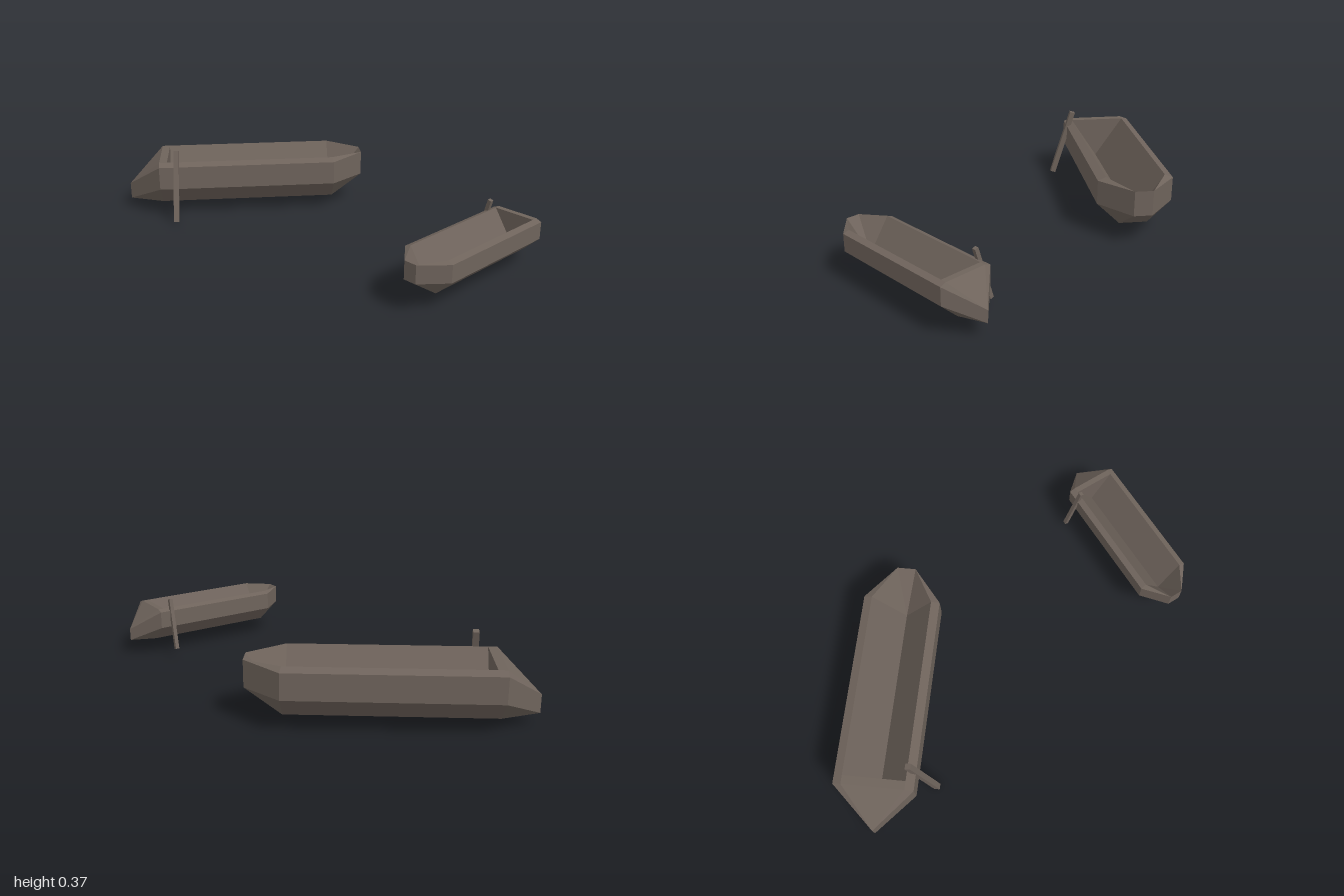
import * as THREE from 'three';

const wood = new THREE.MeshStandardMaterial({ color: 0x6e635b, flatShading: true });
wood.name = 'weatheredWood';

// Hull corners on the left half: [along the hull, height, sideways]
const P = {
  // stern and bow stations: bottom, chine, outer rim, inner rim
  bS: [0, 0.05, 0.07], cS: [0, 0.16, 0.185], oS: [0, 0.28, 0.185], rS: [0, 0.295, 0.145],
  bB: [0.92, 0.05, 0.07], cB: [0.92, 0.16, 0.185], oB: [0.92, 0.28, 0.185], rB: [0.915, 0.295, 0.145],
  // blunt bow end
  eB: [1.085, 0.16, 0.045], eT: [1.085, 0.285, 0.045],
  // centre line
  mS: [0, 0.05, 0], mB: [0.92, 0.05, 0], mE: [1.085, 0.16, 0], mT: [1.085, 0.285, 0],
  tB: [-0.175, 0.05, 0], tT: [-0.175, 0.135, 0], dS: [0, 0.295, 0],
  // inside trough
  iS: [0.04, 0.295, 0.145], iM: [0.04, 0.295, 0], kS: [0.04, 0.08, 0], kB: [0.915, 0.08, 0],
};

// Builds the listed faces and their mirror images across the centre line
function mirroredFaces(name, faces) {
  const pos = [];
  for (const face of faces) {
    const pts = face.split(' ').map((key) => P[key]);
    for (let i = 1; i < pts.length - 1; i++) {
      const tri = [pts[0], pts[i], pts[i + 1]];
      for (const p of tri) pos.push(...p);
      for (const [x, y, z] of tri.reverse()) pos.push(x, y, -z);
    }
  }
  const geo = new THREE.BufferGeometry();
  geo.setAttribute('position', new THREE.Float32BufferAttribute(pos, 3));
  geo.computeVertexNormals();
  const mesh = new THREE.Mesh(geo, wood);
  mesh.name = name;
  return mesh;
}

function makeBoat(name) {
  const boat = new THREE.Group();
  boat.name = name;
  boat.add(
    mirroredFaces('hull', ['cS cB oB oS', 'bS bB cB cS', 'mS mB bB bS']),
    mirroredFaces('rim', ['oS oB rB rS', 'oB eT rB', 'dS rS iS iM']),
    mirroredFaces('bow', ['cB eB eT oB', 'bB eB cB', 'mB mE eB bB', 'mE mT eT eB']),
    mirroredFaces('stern', ['tB bS cS', 'tB cS tT', 'tT cS oS', 'tT oS rS', 'tT rS dS', 'tB mS bS']),
    mirroredFaces('trough', ['iS rB kB kS', 'iM iS kS', 'rB eT kB', 'eT mT kB']),
  );

  // Pole leaning against the side near the stern
  const pole = new THREE.Mesh(new THREE.BoxGeometry(0.027, 0.372, 0.027), wood);
  pole.name = 'pole';
  pole.position.set(0.086, 0.183, 0.207);
  pole.rotation.set(-0.28, 0, -0.04);
  boat.add(pole);
  return boat;
}

export function createModel() {
  const model = new THREE.Group();
  model.name = 'boats';

  const large = makeBoat('largeBoat');
  large.position.set(-0.825, 0, -0.545);
  large.rotation.y = 0.0435;

  const small = makeBoat('smallBoat');
  small.scale.setScalar(0.7);
  small.position.set(0.91, 0.04, 0.255);
  small.rotation.y = THREE.MathUtils.degToRad(-140);

  model.add(large, small);
  return model;
}
